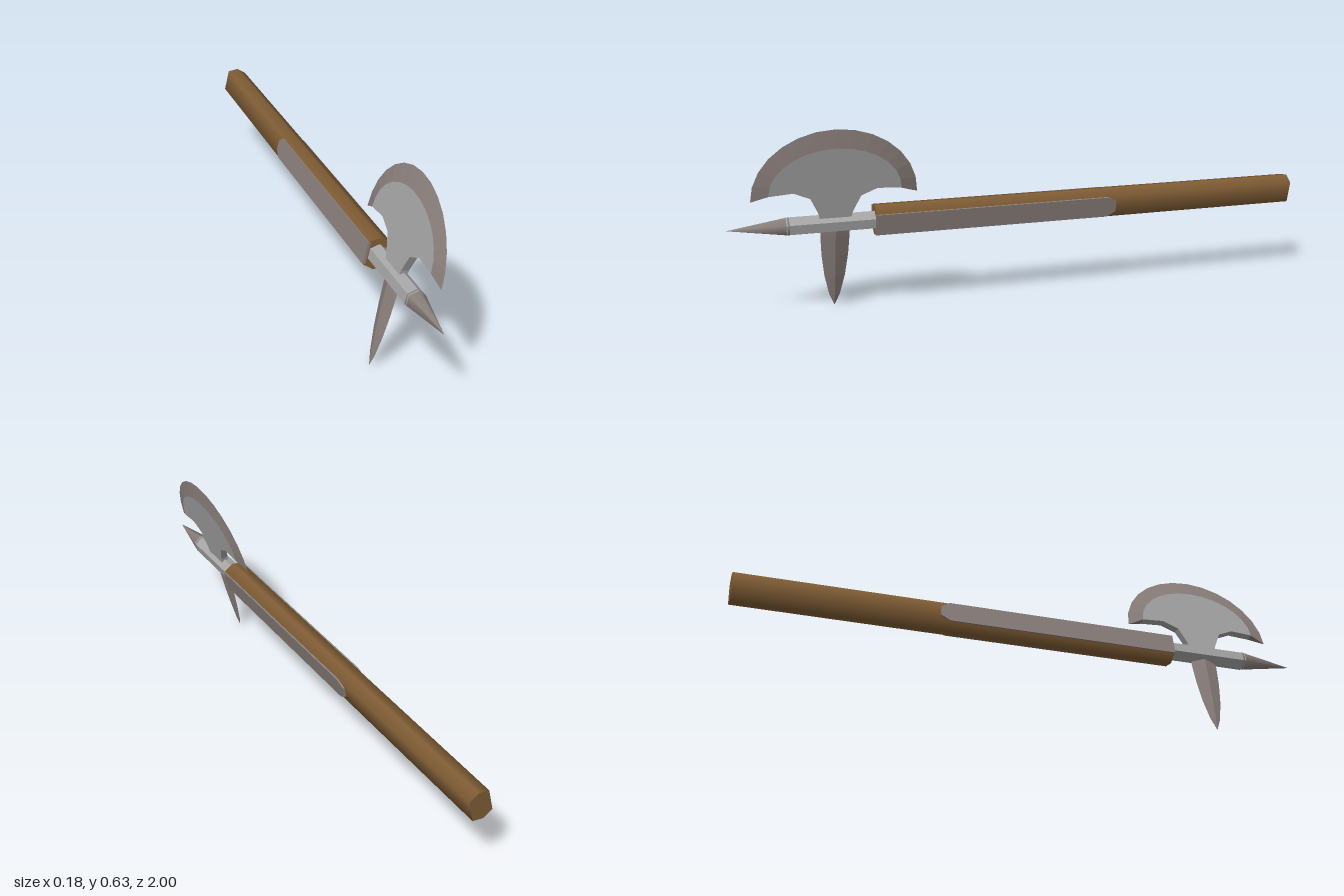
import * as THREE from 'three';

const wood = new THREE.MeshStandardMaterial({ color: 0x805d35 });
wood.name = 'wood';
const steel = new THREE.MeshStandardMaterial({ color: 0xa6a6a6 });
steel.name = 'steel';
const darkSteel = new THREE.MeshStandardMaterial({ color: 0x8a7f7b });
darkSteel.name = 'darkSteel';

const HEAD_Z = 0.65;   // where the axe head crosses the shaft
const BLADE_HALF = 0.013;

function part(name, geometry, material) {
  const mesh = new THREE.Mesh(geometry, material);
  mesh.name = name;
  return mesh;
}

// Gives every face its own normal
function faceted(geometry) {
  const g = geometry.index ? geometry.toNonIndexed() : geometry;
  g.computeVertexNormals();
  return g;
}

// Flat plate from an outline of [z, y] points, centred on x = 0
function plate(points, thickness) {
  const shape = new THREE.Shape(points.map(([z, y]) => new THREE.Vector2(z, y)));
  const g = new THREE.ExtrudeGeometry(shape, { depth: thickness, bevelEnabled: false });
  g.translate(0, 0, -thickness / 2);
  return g.rotateY(-Math.PI / 2);
}

// Six-sided bar along z with a ridge on top and bottom
function hexBar(rFront, rBack, z0, z1) {
  const g = new THREE.CylinderGeometry(rFront, rBack, z1 - z0, 6);
  return g.rotateX(Math.PI / 2).translate(0, 0, (z0 + z1) / 2);
}

// Points on the upper half of an ellipse, from the front tip to the back tip
function arc(halfWidth, base, height, n = 14) {
  return Array.from({ length: n + 1 }, (_, i) => {
    const t = (i / n) * Math.PI;
    return [HEAD_Z + halfWidth * Math.cos(t), base + height * Math.sin(t)];
  });
}

// Wedge from both sides of the blade body to the cutting edge
function bevel(inner, outer) {
  const pos = [];
  const at = ([z, y], x) => [x, y, z];
  const tri = (a, b, c) => pos.push(...a, ...b, ...c);
  for (let i = 0; i < inner.length - 1; i++) {
    const o0 = at(outer[i], 0), o1 = at(outer[i + 1], 0);
    const l0 = at(inner[i], BLADE_HALF), l1 = at(inner[i + 1], BLADE_HALF);
    const r0 = at(inner[i], -BLADE_HALF), r1 = at(inner[i + 1], -BLADE_HALF);
    tri(l0, o1, o0);
    tri(l0, l1, o1);
    tri(r0, o0, o1);
    tri(r0, o1, r1);
  }
  // Close the two horns underneath
  const n = inner.length - 1;
  tri(at(inner[0], BLADE_HALF), at(outer[0], 0), at(inner[0], -BLADE_HALF));
  tri(at(inner[n], -BLADE_HALF), at(outer[n], 0), at(inner[n], BLADE_HALF));
  const g = new THREE.BufferGeometry();
  g.setAttribute('position', new THREE.Float32BufferAttribute(pos, 3));
  g.computeVertexNormals();
  return g;
}

export function createModel() {
  const group = new THREE.Group();
  group.name = 'poleAxe';

  // Handle: hexagon with tall flat sides
  const handle = hexBar(0.054, 0.052, -0.998, 0.52);
  const p = handle.attributes.position;
  for (let i = 0; i < p.count; i++) {
    if (Math.abs(p.getX(i)) > 0.01) p.setXY(i, p.getX(i) * 0.78, p.getY(i) * 1.48);
  }
  group.add(part('handle', handle, wood));

  // Metal straps on both sides of the handle, with clipped ends
  const strap = [[0.522, -0.037], [0.522, 0.037], [-0.29, 0.037],
    [-0.32, 0.018], [-0.32, -0.018], [-0.29, -0.037]];
  for (const side of [1, -1]) {
    const mesh = part(side > 0 ? 'leftStrap' : 'rightStrap', plate(strap, 0.009), darkSteel);
    mesh.position.x = side * 0.037;
    group.add(mesh);
  }

  // Socket and front point
  group.add(part('socket', faceted(hexBar(0.033, 0.033, 0.5, 0.81)), steel));
  group.add(part('frontPoint', hexBar(0, 0.034, 0.8, 0.998), darkSteel));

  // Axe blade: flat body with a curved, sharpened edge
  const inner = arc(0.215, 0.118, 0.155);
  const outer = arc(0.27, 0.096, 0.238);
  const under = [[0.136, 0.124], [0.082, 0.1], [0.055, 0.042], [0.045, -0.01]];
  const outline = [
    ...inner,
    ...under.map(([z, y]) => [HEAD_Z - z, y]),
    ...under.slice().reverse().map(([z, y]) => [HEAD_Z + z, y]),
  ];
  group.add(part('bladeBody', plate(outline, BLADE_HALF * 2), steel));
  group.add(part('bladeEdge', bevel(inner, outer), darkSteel));

  // Lower spike: diamond section tapering to a point
  const profile = [[0, -0.316], [0.018, -0.272], [0.034, -0.2], [0.044, -0.12],
    [0.048, -0.05], [0.046, 0], [0, 0.001]];
  const spike = new THREE.LatheGeometry(profile.map(([r, y]) => new THREE.Vector2(r, y)), 4);
  spike.scale(0.31, 1, 1).translate(0, 0, HEAD_Z);
  group.add(part('lowerSpike', faceted(spike), darkSteel));

  // Resting pose: rolled about the shaft and turned slightly
  group.rotation.set(-0.004, 0.035, -0.241, 'YXZ');
  group.position.set(-0.013, 0.309, 0);
  const model = new THREE.Group();
  model.name = 'model';
  model.add(group);
  return model;
}
